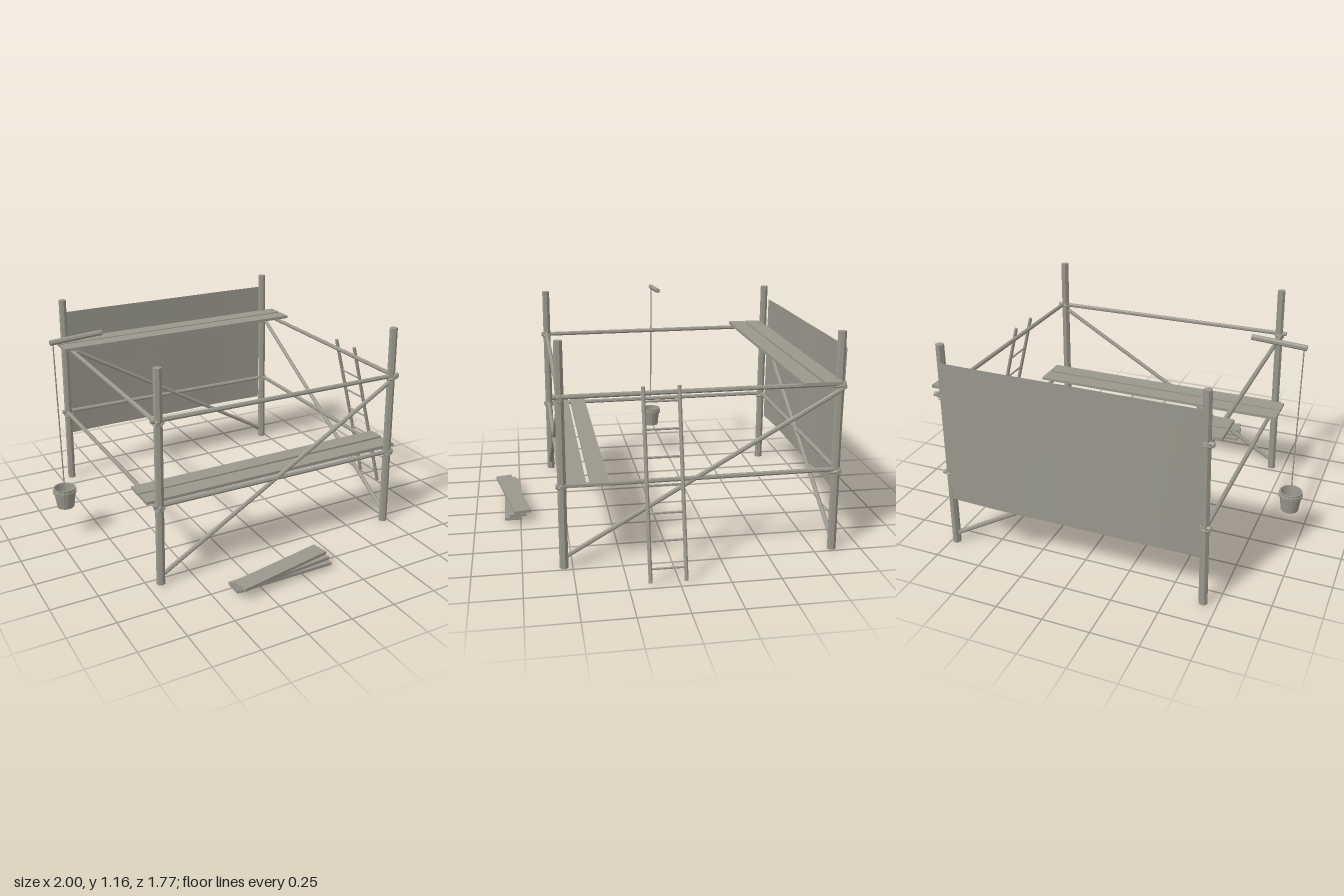
import * as THREE from 'three';

export function createModel() {
  const model = new THREE.Group();
  model.name = 'scaffold';
  const wood = new THREE.MeshStandardMaterial({ color: 0x9a988c, flatShading: true });
  wood.name = 'weathered grey';
  const cloth = new THREE.MeshStandardMaterial({ color: 0x9a988c, side: THREE.DoubleSide });
  cloth.name = 'weathered grey sheet';

  const add = (name, geometry, material = wood, parent = model) => {
    const mesh = new THREE.Mesh(geometry, material);
    mesh.name = name;
    parent.add(mesh);
    return mesh;
  };

  // Round pole between two points
  const pole = (name, a, b, r, sides = 7, rTop = r, parent = model) => {
    const p = new THREE.Vector3(...a), q = new THREE.Vector3(...b);
    const d = q.clone().sub(p);
    const mesh = add(name, new THREE.CylinderGeometry(rTop, r, d.length(), sides), wood, parent);
    mesh.position.copy(p).add(q).multiplyScalar(0.5);
    mesh.quaternion.setFromUnitVectors(new THREE.Vector3(0, 1, 0), d.normalize());
    return mesh;
  };

  const plank = (name, x, y, z, length, width, height, turn = 0) => {
    const mesh = add(name, new THREE.BoxGeometry(length, height, width));
    mesh.position.set(x, y, z);
    mesh.rotation.y = turn;
    return mesh;
  };

  const L = -0.68, R = 0.722, F = 0.543, B = -0.85;

  // Four uprights, leaning slightly inward, with lashings at each level
  for (const x of [L, R]) for (const z of [F, B]) {
    const topX = x + (x < 0 ? 0.02 : -0.02), topZ = z + (z < 0 ? 0.01 : -0.004);
    pole('upright', [x, 0, z], [topX, 1.155, topZ], 0.023, 7, 0.022);
    for (const y of [0.43, 0.88]) {
      const t = y / 1.155;
      const tie = add('lashing', new THREE.TorusGeometry(0.024, 0.007, 5, 10));
      tie.position.set(x + (topX - x) * t, y, z + (topZ - z) * t);
      tie.rotation.set(Math.PI / 2 + 0.25, 0.2, 0);
    }
  }

  // Horizontal rails on all four sides at two levels
  for (const y of [0.44, 0.89]) {
    for (const z of [F, B - 0.005]) pole('longRail', [L - 0.025, y + 0.005, z], [R + 0.03, y - 0.005, z], 0.012);
    for (const x of [L + 0.003, R]) pole('sideRail', [x, y - 0.003, F + 0.03], [x, y + 0.004, B - 0.02], 0.012);
  }

  // Diagonal braces
  pole('frontBrace', [-0.67, 0.05, F], [0.735, 0.875, F], 0.012);
  pole('backBrace', [-0.67, 0.87, B], [0.72, 0.05, B], 0.012);
  pole('sideBrace', [R, 0.055, F], [R, 0.87, B - 0.01], 0.012);

  // Walkway planks
  plank('frontDeck', 0.025, 0.456, 0.363, 1.51, 0.092, 0.016, 0.003);
  plank('frontDeck', 0.025, 0.456, 0.472, 1.51, 0.095, 0.016, -0.003);
  plank('backDeck', 0.025, 0.912, -0.786, 1.51, 0.09, 0.016, 0.003);
  plank('backDeck', 0.025, 0.912, -0.681, 1.51, 0.094, 0.016);

  // Hanging sheet, bellying outward toward its lower edge
  const sheet = new THREE.PlaneGeometry(1.36, 0.78, 24, 10);
  const pos = sheet.attributes.position;
  for (let i = 0; i < pos.count; i++) {
    const u = pos.getX(i) / 1.36 + 0.5, drop = 0.5 - pos.getY(i) / 0.78;
    const belly = 0.013 * Math.sin(Math.PI * u) + 0.005 * Math.sin(u * Math.PI * 3);
    pos.setZ(i, -belly * (0.4 + 0.6 * drop));
  }
  sheet.computeVertexNormals();
  add('sheet', sheet, cloth).position.set(0.022, 0.68, -0.872);

  // Leaning ladder
  const ladder = new THREE.Group();
  ladder.name = 'ladder';
  model.add(ladder);
  const z0 = -0.028, z1 = 0.147;
  const ladderX = (y) => 0.985 - (y - 0.02) * 0.264;
  for (const z of [z0, z1]) pole('ladderRail', [ladderX(0.02), 0.02, z], [ladderX(0.928), 0.928, z], 0.01, 7, 0.01, ladder);
  for (let i = 0; i < 7; i++) {
    const y = 0.085 + i * 0.129;
    pole('rung', [ladderX(y), y, z0], [ladderX(y), y, z1], 0.006, 6, 0.006, ladder);
  }

  // Hoist arm, rope and open bucket
  pole('hoistArm', [-0.952, 1.122, -0.157], [-0.672, 1.14, -0.157], 0.015);
  pole('rope', [-0.937, 0.33, -0.155], [-0.937, 1.12, -0.155], 0.0035, 6);
  const profile = [[0, 0.18], [0.047, 0.18], [0.058, 0.262], [0.064, 0.265], [0.065, 0.282],
    [0.06, 0.284], [0.061, 0.295], [0.054, 0.295], [0.042, 0.192], [0, 0.192]];
  const bucket = add('bucket', new THREE.LatheGeometry(profile.map(p => new THREE.Vector2(...p)), 16));
  bucket.position.set(-0.937, 0, -0.155);

  // Loose planks stacked in front
  [0, 0.095, 0.195].forEach((turn, i) =>
    plank('loosePlank', -0.117, 0.029 + i * 0.0175, 0.79, 0.56, 0.092, 0.016, turn));

  return model;
}
